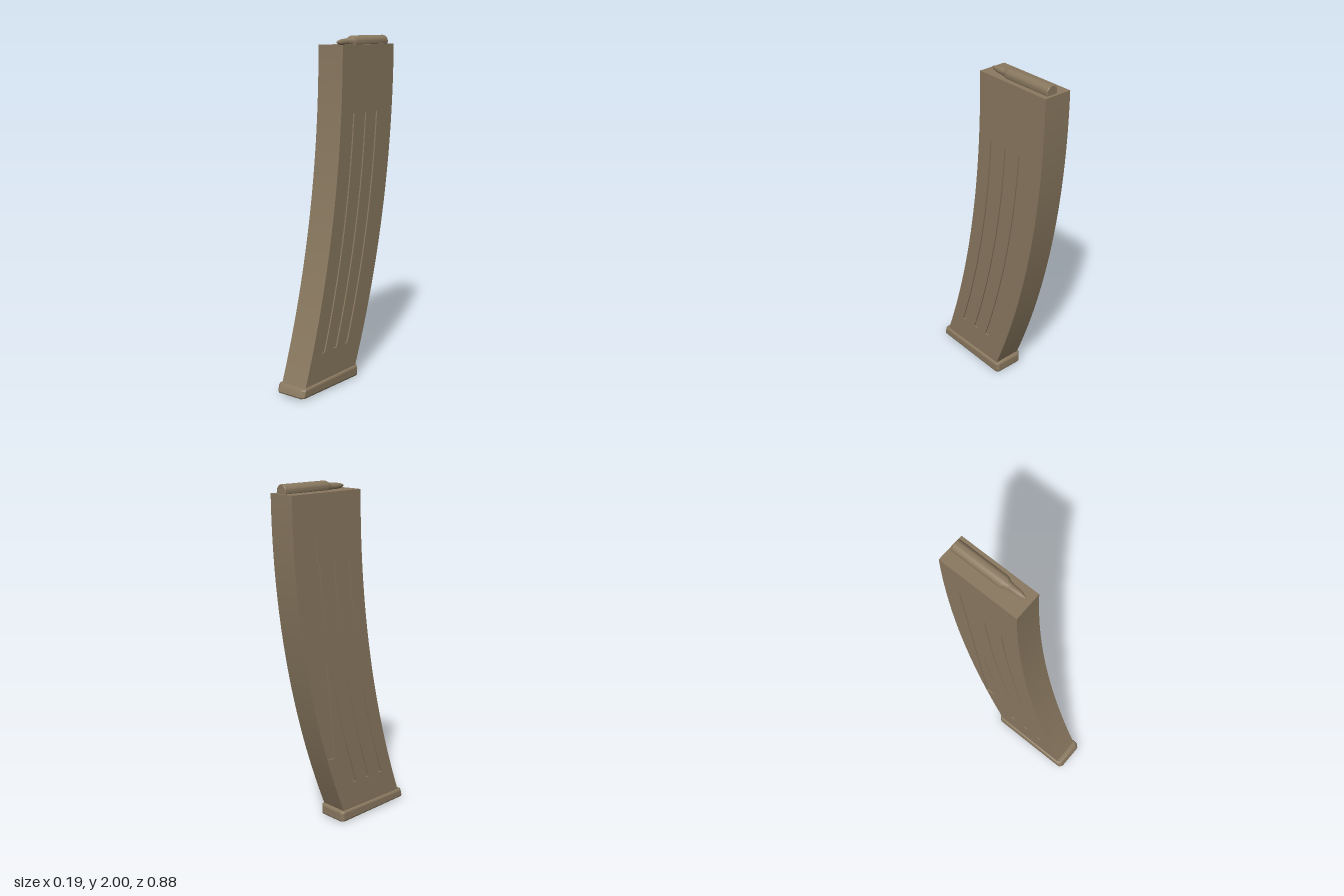
import * as THREE from 'three';
import { toCreasedNormals } from 'three/addons/utils/BufferGeometryUtils.js';

const TOP = 1.95, BOTTOM = 0.06, HALF = 0.085, DEPTH = 0.008;

// Curved outline of the box: z on an arc at height y
const arc = (z0, R, y) => z0 + R - Math.sqrt(R * R - (TOP - y) ** 2);
const frontZ = (y) => arc(0.058, 5.37, y);
const rearZ = (y) => arc(-0.44, 4.96, y);
const between = (y, t) => frontZ(y) + (rearZ(y) - frontZ(y)) * t;

// Points [z, y] along a curve z = f(y)
function trace(f, y0, y1, n = 28) {
  const pts = [];
  for (let i = 0; i <= n; i++) {
    const y = y0 + ((y1 - y0) * i) / n;
    pts.push(new THREE.Vector2(f(y), y));
  }
  return pts;
}

const outline = () => new THREE.Shape([...trace(rearZ, BOTTOM, TOP, 40), ...trace(frontZ, TOP, BOTTOM, 40)]);

// Long groove that follows the curve at fraction t of the depth
const G0 = 0.23, G1 = 1.57, GW = 0.014;
const grooveFront = (t) => (y) => between(y, t) + GW;
const grooveRear = (t) => (y) => between(y, t) - GW;
const groove = (t) => new THREE.Path([...trace(grooveFront(t), G0, G1), ...trace(grooveRear(t), G1, G0)]);

// Straight slot joined to the rear groove
function slotWithGroove(t) {
  const slotFront = (y) => -0.14 - (0.135 * (y - 0.425)) / 1.285;
  const join = 0.98;
  return new THREE.Path([
    new THREE.Vector2(-0.14, 0.425),
    ...trace(grooveRear(t), join, G0),
    ...trace(grooveFront(t), G0, G1),
    new THREE.Vector2(slotFront(G1), G1),
    new THREE.Vector2(-0.275, 1.71),
    new THREE.Vector2(-0.33, 1.71),
    new THREE.Vector2(-0.193, 0.425),
  ]);
}

// Extrude a side-view shape towards -x, starting at xStart
function slab(shape, depth, xStart) {
  const g = new THREE.ExtrudeGeometry(shape, { depth, bevelEnabled: false });
  g.rotateY(-Math.PI / 2);
  g.translate(xStart, 0, 0);
  return toCreasedNormals(g, 0.3);
}

export function createModel() {
  const model = new THREE.Group();
  const tan = new THREE.MeshStandardMaterial({ color: 0x8a7960 });
  tan.name = 'tan';
  const add = (name, geometry) => {
    const mesh = new THREE.Mesh(geometry, tan);
    mesh.name = name;
    model.add(mesh);
    return mesh;
  };

  // Core box, with a pierced skin on each side to form the recesses
  add('core', slab(outline(), 2 * (HALF - DEPTH), HALF - DEPTH));
  const left = outline();
  left.holes.push(groove(0.22), groove(0.45), groove(0.67));
  add('leftSide', slab(left, DEPTH, HALF));
  const right = outline();
  right.holes.push(groove(0.22), groove(0.45), slotWithGroove(0.67));
  add('rightSide', slab(right, DEPTH, -HALF + DEPTH));

  // Floor plate: bevelled, with clipped corners, sloping underside and leaning front
  const b = 0.012, w = 0.097 - b, f = 0.44 - b, r = 0.09 - b, c = 0.01;
  const plate = new THREE.Shape([
    [-w + c, -f], [w - c, -f], [w, -f + c], [w, r - c],
    [w - c, r], [-w + c, r], [-w, r - c], [-w, -f + c],
  ].map(([x, y]) => new THREE.Vector2(x, y)));
  const base = new THREE.ExtrudeGeometry(plate, {
    depth: 0.068 - 2 * b, bevelEnabled: true, bevelSize: b, bevelThickness: b, bevelSegments: 2,
  });
  base.rotateX(-Math.PI / 2);
  base.translate(0, b, 0);
  const p = base.attributes.position;
  for (let i = 0; i < p.count; i++) {
    const y = p.getY(i), z = p.getZ(i);
    if (y < 0.034) p.setY(i, y + (0.012 * (z + 0.09)) / 0.53);
    if (z > 0.3) p.setZ(i, z - Math.max(0, y - 0.015) * 0.25);
  }
  base.computeVertexNormals();
  add('floorPlate', toCreasedNormals(base, 0.3));

  // Cartridge lying in the mouth, tip towards the front
  const profile = [
    [0, -0.422], [0.033, -0.422], [0.036, -0.418], [0.036, -0.115], [0.033, -0.103],
    [0.024, -0.088], [0.022, -0.068], [0.02, -0.066], [0.0195, -0.04], [0.017, -0.015],
    [0.012, 0.01], [0.006, 0.025], [0, 0.03],
  ].map(([x, y]) => new THREE.Vector2(x, y));
  const round = new THREE.LatheGeometry(profile, 24);
  round.rotateX(Math.PI / 2);
  add('cartridge', toCreasedNormals(round, 0.5)).position.set(0.022, 1.964, 0);

  return model;
}
